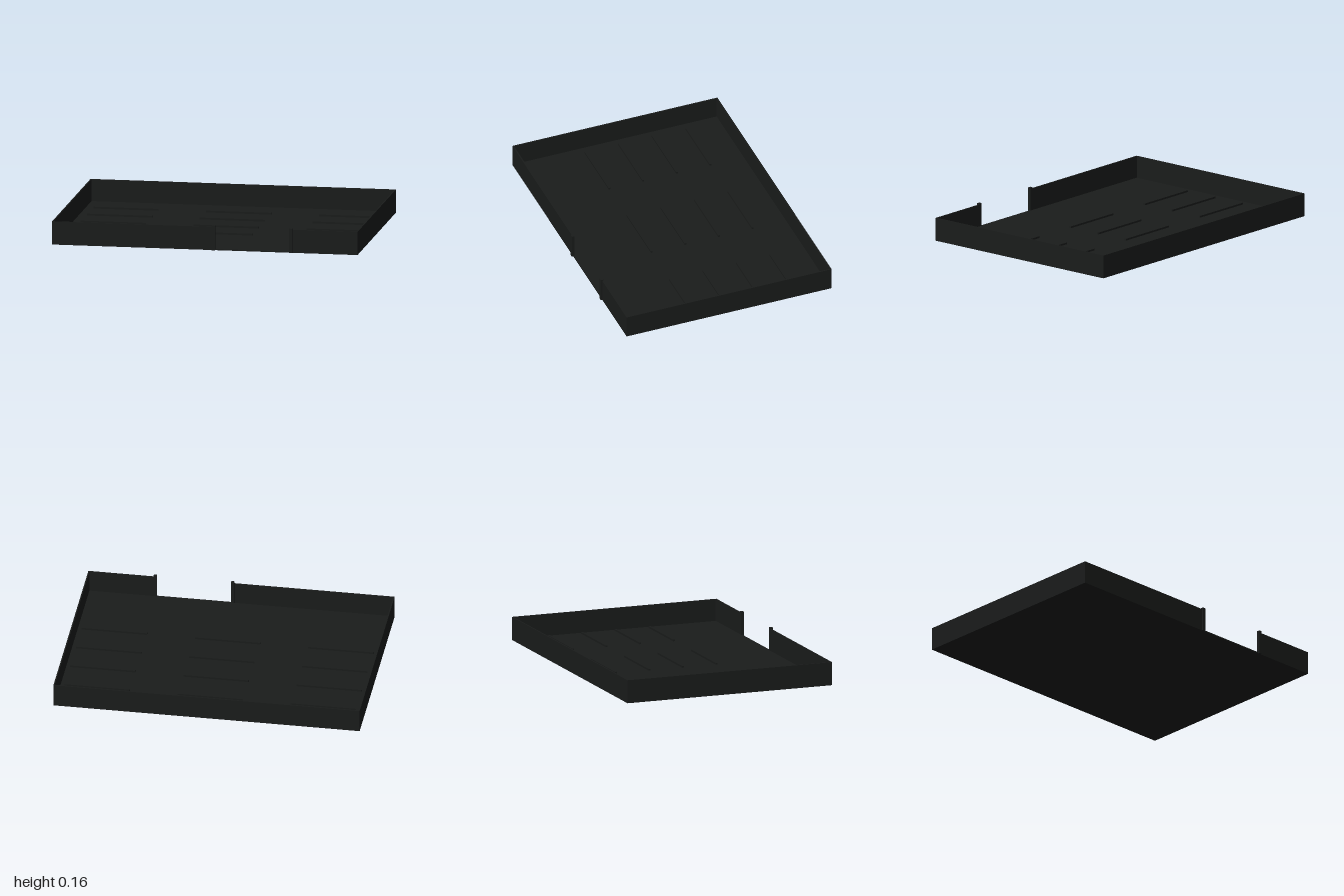
import * as THREE from 'three';

export function createModel() {
  const group = new THREE.Group();
  const material = new THREE.MeshStandardMaterial({ color: 0x1a1c1b });

  // Box given by its lower and upper corners
  const box = (name, [x0, y0, z0], [x1, y1, z1]) => {
    const mesh = new THREE.Mesh(new THREE.BoxGeometry(x1 - x0, y1 - y0, z1 - z0), material);
    mesh.position.set((x0 + x1) / 2, (y0 + y1) / 2, (z0 + z1) / 2);
    mesh.name = name;
    group.add(mesh);
  };

  const back = -0.716, front = 0.706, height = 0.152, t = 0.008, floorTop = 0.008;
  const gapLeft = 0.057, gapRight = 0.563;

  // Floor slab
  box('floor', [-1, 0, back], [1, floorTop, front]);

  // Thin walls, the front one open at the doorway
  box('backWall', [-1, floorTop, back], [1, height, back + t]);
  box('rightWall', [-1, floorTop, back + t], [-1 + t, height, front - t]);
  box('leftWall', [1 - t, floorTop, back + t], [1, height, front - t]);
  box('frontWallRight', [-1, floorTop, front - t], [gapLeft, height, front]);
  box('frontWallLeft', [gapRight, floorTop, front - t], [1, height, front]);

  // Door posts
  for (const x of [gapLeft, gapRight]) {
    box('doorPost', [x - 0.011, 0, 0.697], [x + 0.011, 0.16, 0.716]);
  }

  // Raised floor strips in three columns and four rows
  for (const x of [-0.725, 0.013, 0.752]) {
    for (const z of [-0.475, -0.242, -0.009, 0.225]) {
      box('floorStrip', [x - 0.213, floorTop, z - 0.006], [x + 0.213, 0.02, z + 0.006]);
    }
  }
  return group;
}
